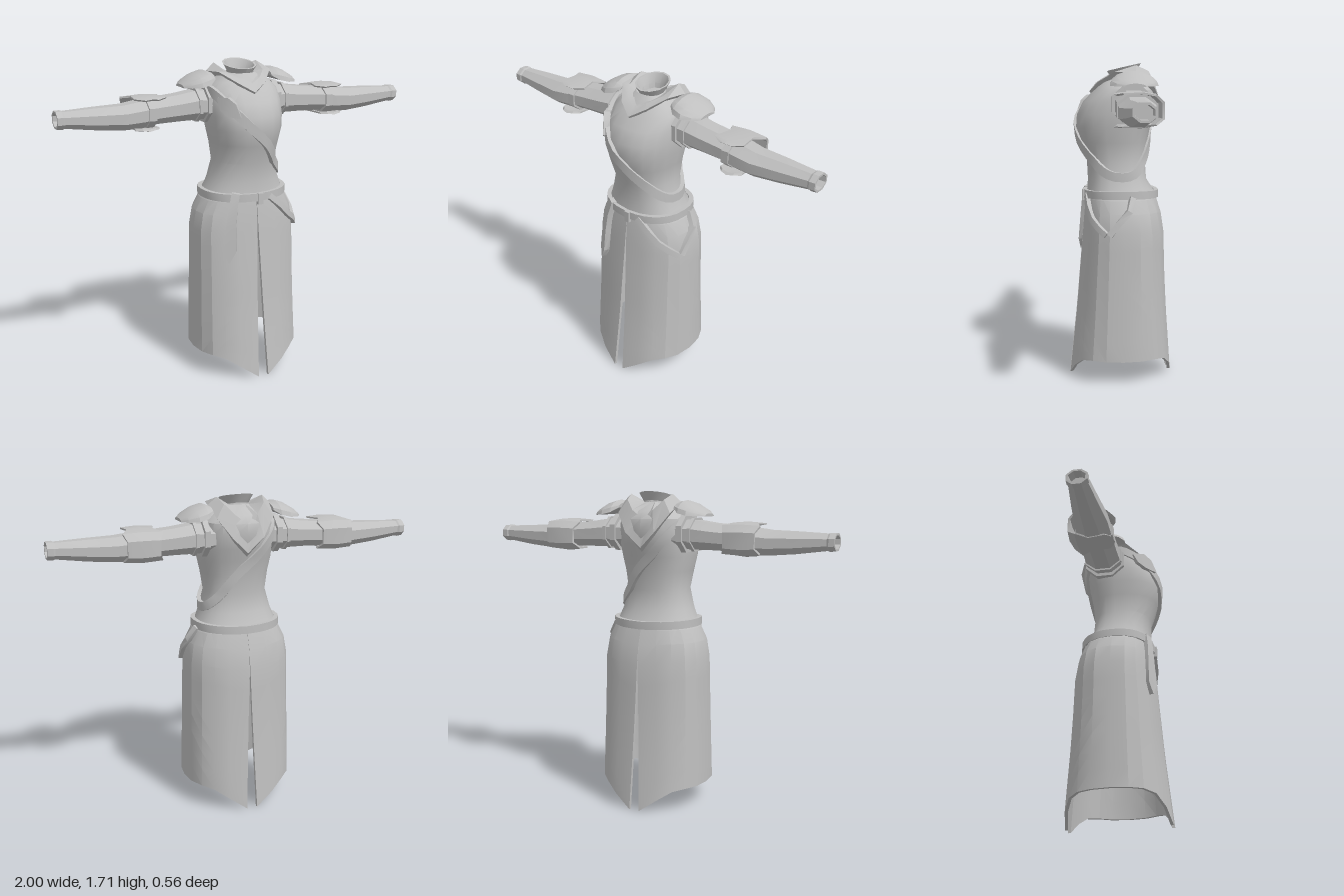
import * as THREE from 'three';
import { toCreasedNormals } from 'three/addons/utils/BufferGeometryUtils.js';

const cloth = new THREE.MeshStandardMaterial({ color: 0xbfbfbf, side: THREE.DoubleSide });
cloth.name = 'grey cloth';
const V = (x, y, z) => new THREE.Vector3(x, y, z);
const lerp = THREE.MathUtils.lerp;
const range = (n, f) => Array.from({ length: n }, (_, i) => f(i));

// Interpolates a table whose rows start with a rising key
function sample(table, k) {
  let i = 0;
  while (i < table.length - 2 && k > table[i + 1][0]) i++;
  const a = table[i], b = table[i + 1];
  const t = THREE.MathUtils.clamp((k - a[0]) / (b[0] - a[0]), 0, 1);
  return a.slice(1).map((v, j) => lerp(v, b[j + 1], t));
}

// Skin through closed rings of points; caps close the ends, loop joins last to first
function loft(name, rings, { caps = true, loop = false, crease = 0.5 } = {}) {
  const n = rings[0].length, m = rings.length, idx = [];
  const pos = rings.flat().flatMap((p) => [p.x, p.y, p.z]);
  for (let i = 0; i < (loop ? m : m - 1); i++) {
    for (let j = 0; j < n; j++) {
      const a = i * n + j, b = i * n + (j + 1) % n;
      const c = ((i + 1) % m) * n + j, d = ((i + 1) % m) * n + (j + 1) % n;
      idx.push(a, b, c, b, d, c);
    }
  }
  if (caps && !loop) {
    const e = (m - 1) * n;
    for (let j = 1; j < n - 1; j++) idx.push(0, j + 1, j, e, e + j, e + j + 1);
  }
  const g = new THREE.BufferGeometry();
  g.setAttribute('position', new THREE.Float32BufferAttribute(pos, 3));
  g.setIndex(idx);
  const mesh = new THREE.Mesh(toCreasedNormals(g, crease), cloth);
  mesh.name = name;
  return mesh;
}

// Body outline: height, half width, front depth, back depth
const BODY = [
  [0, 0.305, 0.282, 0.285], [0.2, 0.302, 0.26, 0.272], [0.4, 0.298, 0.238, 0.258],
  [0.6, 0.294, 0.222, 0.248], [0.85, 0.29, 0.2, 0.24], [0.96, 0.268, 0.192, 0.218],
  [1.03, 0.222, 0.18, 0.19], [1.1, 0.195, 0.175, 0.145], [1.2, 0.165, 0.18, 0.138],
  [1.3, 0.178, 0.218, 0.148], [1.38, 0.195, 0.238, 0.165], [1.45, 0.2, 0.233, 0.19],
  [1.52, 0.2, 0.198, 0.205], [1.58, 0.19, 0.14, 0.2], [1.62, 0.15, 0.105, 0.17], [1.66, 0.07, 0.06, 0.1],
];
const POWER = 0.85;
// Point on the body: angle 0 is the left side, a quarter turn is the front
function body(a, y, off = 0) {
  const [sx, zf, zb] = sample(BODY, y), c = Math.cos(a), s = Math.sin(a);
  const bend = (v) => Math.sign(v) * Math.abs(v) ** POWER;
  return V(bend(c) * (sx + off), y, bend(s) * ((s > 0 ? zf : zb) + off));
}

// Strap lying on the body along [angle, height, half width] points
function strap(name, path, thick = 0.016, loop = false) {
  const n = path.length;
  const mid = path.map(([a, y]) => body(a, y));
  const rings = path.map(([a, y, w], i) => {
    const p = mid[loop ? (i + n - 1) % n : Math.max(i - 1, 0)];
    const q = mid[loop ? (i + 1) % n : Math.min(i + 1, n - 1)];
    const out = body(a, y, 0.1).sub(mid[i]).normalize();
    const side = out.clone().cross(q.clone().sub(p)).normalize();
    const corner = (s, o) => mid[i].clone().addScaledVector(side, s * w).addScaledVector(out, o);
    return [corner(-1, -0.008), corner(-1, thick), corner(1, thick), corner(1, -0.008)];
  });
  return loft(name, rings, { loop });
}

// One half of the slit skirt, with real thickness
function skirtHalf() {
  const cols = 11, rows = 10;
  const point = (t, s, off) => {
    const fromSlit = Math.sin(Math.PI * t) ** 0.85 * 0.3;
    const hem = 0.01 + 0.13 * Math.min(1, fromSlit / 0.21);
    const y = lerp(hem, 1.03, s), sx = sample(BODY, y)[0];
    const edge = (top) => {
      const gap = Math.max(0.0005, 0.03 * (1 - y / top));
      return Math.acos((gap / sx) ** (1 / POWER));
    };
    return body(lerp(edge(0.97), -edge(0.85), t), y, off);
  };
  const rings = range(rows, (r) => {
    const s = r / (rows - 1);
    const outer = range(cols, (i) => point(i / (cols - 1), s, 0));
    const inner = range(cols, (i) => point(1 - i / (cols - 1), s, -0.016));
    return [...outer, ...inner];
  });
  // The hem is closed by a strip between the outer and inner skins
  const hem = rings[0].map((p, i) => rings[0][2 * cols - 1 - i].clone().lerp(p, 0.5));
  return loft('skirtHalf', [hem, ...rings], { caps: false, crease: 0.35 });
}

// Ring across an arm at x
const armRing = (x, y, z, ry, rz, n = 8) => range(n, (j) => {
  const a = (j + 0.5) / n * Math.PI * 2;
  return V(x, y + Math.sin(a) * ry * 1.06, z + Math.cos(a) * rz * 1.06);
});

function armSide() {
  const g = new THREE.Group();
  // Sleeve with a hollow cuff: x, y, z, half height, half depth
  const sleeve = [
    [0.15, 1.5, -0.05, 0.075, 0.095], [0.25, 1.5, -0.05, 0.078, 0.098], [0.36, 1.492, -0.047, 0.07, 0.095],
    [0.48, 1.485, -0.045, 0.066, 0.095], [0.56, 1.475, -0.04, 0.07, 0.095], [0.66, 1.468, -0.03, 0.064, 0.088],
    [0.8, 1.472, -0.03, 0.056, 0.072], [0.96, 1.479, -0.028, 0.042, 0.052], [0.97, 1.479, -0.028, 0.046, 0.057],
    [1, 1.48, -0.028, 0.044, 0.055], [1, 1.48, -0.028, 0.034, 0.044], [0.95, 1.48, -0.028, 0.032, 0.04],
  ];
  g.add(loft('sleeve', sleeve.map((r) => armRing(...r)), { crease: 0.4 }));

  // Bands round the shoulder and the elbow
  const band = (name, x0, x1, y, z, ry, rz) => loft(name, [
    armRing(x0, y, z, ry, rz), armRing(x1, y, z, ry, rz),
    armRing(x1, y, z, ry - 0.02, rz - 0.02), armRing(x0, y, z, ry - 0.02, rz - 0.02),
  ], { loop: true });
  g.add(band('shoulderBand', 0.185, 0.215, 1.505, -0.05, 0.1, 0.11));
  g.add(band('sleeveBand', 0.245, 0.262, 1.5, -0.05, 0.088, 0.105));
  g.add(band('elbowBand', 0.5, 0.54, 1.48, -0.043, 0.078, 0.103));

  // Elbow guard wrapping the top, back and underside: y, z, start x, end x
  const guard = [
    [1.556, 0.065, 0.49, 0.56], [1.562, 0.035, 0.44, 0.61], [1.566, -0.06, 0.465, 0.6], [1.555, -0.125, 0.43, 0.635],
    [1.52, -0.165, 0.45, 0.62], [1.44, -0.165, 0.45, 0.62], [1.41, -0.125, 0.43, 0.635],
    [1.4, -0.06, 0.48, 0.6], [1.402, 0.035, 0.48, 0.61], [1.405, 0.065, 0.51, 0.58],
  ];
  g.add(loft('elbowGuard', guard.map(([y, z, x0, x1]) => {
    const at = (x, k) => V(x, 1.482 + (y - 1.482) * k, -0.04 + (z + 0.04) * k);
    const m = (x0 + x1) / 2;
    return [at(x0, 1), at(m, 1.07), at(x1, 1), at(x1, 0.9), at(m, 0.95), at(x0, 0.9)];
  })));

  // Shoulder plate: x, crest y, edge y, half depth
  const plate = [[0.165, 1.665, 1.635, 0.09], [0.2, 1.677, 1.612, 0.12], [0.25, 1.662, 1.6, 0.127],
    [0.3, 1.632, 1.596, 0.1], [0.328, 1.61, 1.594, 0.055]];
  g.add(loft('shoulderPlate', plate.map(([x, top, low, h]) => range(9, (j) => {
    const a = lerp(-1, 1, j / 8) * Math.PI / 2;
    return V(x, lerp(low, top, Math.cos(a)), -0.055 + Math.sin(a) * h);
  }))));
  return g;
}

function mantle() {
  // Cowl round the neck, pointed at front and back: outer edge of one half
  const half = [[0, 1.572, 0.165], [0.08, 1.62, 0.125], [0.15, 1.672, 0.04], [0.172, 1.668, -0.07],
    [0.155, 1.61, -0.165], [0.085, 1.51, -0.214], [0, 1.43, -0.205]];
  const edge = [...half, ...half.slice(1, -1).reverse().map(([x, y, z]) => [-x, y, z])];
  return loft('mantle', edge.map(([x, y, z]) => {
    const a = Math.atan2(z + 0.03, x), c = Math.cos(a), s = Math.sin(a);
    const neck = V(c * 0.07, 1.655 - s * 0.012, -0.025 + s * 0.075);
    const rim = V(x, y, z);
    const swell = neck.clone().lerp(rim, 0.55).add(V(0, s < 0 ? 0.045 : 0.008, s < 0 ? -0.02 : 0.01));
    const lip = rim.clone().add(V(-c * 0.025, -0.022, -s * 0.02));
    return [neck, swell, rim, lip];
  }), { loop: true });
}

function collar() {
  // Tilted standing collar: radius, height
  const rows = [[0.075, 1.635], [0.068, 1.66], [0.092, 1.702], [0.082, 1.702], [0.06, 1.66], [0.05, 1.6]];
  return loft('collar', rows.map(([r, y]) => range(12, (j) => {
    const a = j / 12 * Math.PI * 2, z = Math.sin(a) * r;
    return V(Math.cos(a) * r, y - z * 0.23, -0.023 + z);
  })));
}

export function createModel() {
  const model = new THREE.Group();
  model.name = 'robe';

  // Mirrored halves: sleeves with armour, and the split skirt
  for (const [side, s] of [['left', 1], ['right', -1]]) {
    const half = new THREE.Group();
    half.name = side + 'Side';
    half.add(armSide(), skirtHalf());
    half.scale.x = s;
    model.add(half);
  }

  // Bodice
  const heights = [1, ...BODY.map((r) => r[0]).filter((y) => y > 1)];
  model.add(loft('bodice', heights.map((y) => range(20, (j) => body(j / 20 * Math.PI * 2, y))),
    { caps: false, crease: 0.6 }));
  model.add(mantle(), collar());

  // Diagonal chest strap and its diamond buckle
  const diagonal = (a) => 1.35 - 0.23 * Math.cos(a);
  model.add(strap('chestStrap', range(36, (i) => {
    const a = i / 36 * Math.PI * 2;
    return [a, diagonal(a), 0.024];
  }), 0.014, true));
  model.add(strap('chestBuckle', [[2.05, 0.004], [2.25, 0.04], [2.42, 0.04], [2.6, 0.004]]
    .map(([a, w]) => [a, diagonal(a), w]), 0.026));

  // Belt with buckle
  model.add(strap('belt', range(28, (i) => {
    const a = i / 28 * Math.PI * 2;
    return [a, 1.02 + 0.008 * Math.abs(Math.cos(a)), 0.021];
  }), 0.016, true));
  const buckle = new THREE.Mesh(new THREE.BoxGeometry(0.03, 0.06, 0.02), cloth);
  buckle.name = 'beltBuckle';
  buckle.position.set(0.015, 1.012, 0.197);
  model.add(buckle);

  // Hanging belt end and the loop on the left hip
  model.add(strap('beltEnd', [[2.05, 1.05, 0.022], [2.04, 0.97, 0.023], [2.05, 0.87, 0.027],
    [2.08, 0.74, 0.032], [2.1, 0.68, 0.003]], 0.024));
  model.add(strap('hipLoopFront', [[1.32, 1.02, 0.016], [1.1, 0.96, 0.016], [0.87, 0.9, 0.016],
    [0.62, 0.86, 0.016], [0.4, 0.825, 0.016]], 0.02));
  model.add(strap('hipLoopBack', [[-0.2, 1.02, 0.016], [-0.1, 0.95, 0.016], [0.08, 0.89, 0.016],
    [0.3, 0.825, 0.016]], 0.02));
  return model;
}
